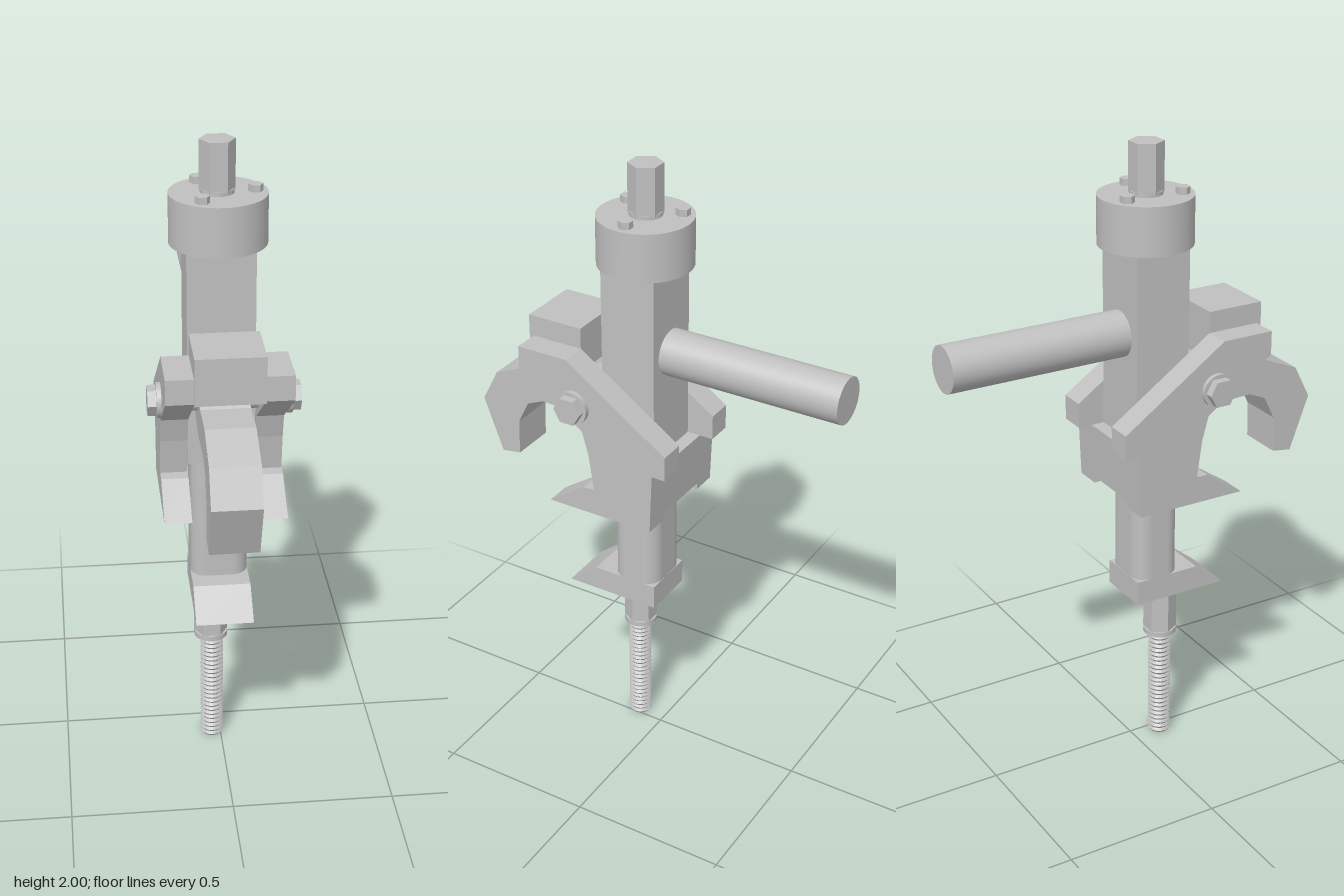
import * as THREE from 'three';

export function createModel() {
  const model = new THREE.Group();
  const steel = new THREE.MeshStandardMaterial({ color: 0xc0c0c0 });
  steel.name = 'steel grey';

  const add = (name, geometry, x = 0, y = 0, z = 0) => {
    const mesh = new THREE.Mesh(geometry, steel);
    mesh.name = name;
    mesh.position.set(x, y, z);
    model.add(mesh);
    return mesh;
  };
  // box from minimum and maximum corners
  const box = (name, x0, x1, y0, y1, z0, z1) =>
    add(name, new THREE.BoxGeometry(x1 - x0, y1 - y0, z1 - z0), (x0 + x1) / 2, (y0 + y1) / 2, (z0 + z1) / 2);
  // [z, y] side profile extruded across x
  const plate = (name, points, x0, x1) => {
    const shape = new THREE.Shape(points.map(([z, y]) => new THREE.Vector2(z, y)));
    const g = new THREE.ExtrudeGeometry(shape, { depth: x1 - x0, bevelEnabled: false });
    g.rotateY(-Math.PI / 2);
    return add(name, g, x1, 0, 0);
  };
  // upright cylinder, or prism when it has few sides
  const post = (name, r, y0, y1, x, z, sides = 40, turn = 0) => {
    const g = new THREE.CylinderGeometry(r, r, y1 - y0, sides).rotateY(turn);
    return add(name, sides > 8 ? g : flat(g), x, (y0 + y1) / 2, z);
  };
  const flat = (g) => {
    const out = g.toNonIndexed();
    out.computeVertexNormals();
    return out;
  };
  // cylinder lying along x
  const crossPin = (name, r, x0, x1, y, z, sides) => {
    const g = new THREE.CylinderGeometry(r, r, x1 - x0, sides).rotateZ(Math.PI / 2);
    return add(name, sides > 8 ? g : flat(g), (x0 + x1) / 2, y, z);
  };

  // threaded rod with its hex coupling
  const thread = [new THREE.Vector2(0, 0)];
  const turns = 24;
  for (let i = 0; i < turns; i++) {
    thread.push(new THREE.Vector2(0.031, (i / turns) * 0.385));
    thread.push(new THREE.Vector2(0.037, ((i + 0.5) / turns) * 0.385));
  }
  thread.push(new THREE.Vector2(0.031, 0.385));
  add('threadedRod', flat(new THREE.LatheGeometry(thread, 20)), -0.027, 0, 0.095);
  post('couplingFlange', 0.053, 0.38, 0.397, -0.03, 0.093);
  post('hexCoupling', 0.053, 0.397, 0.54, -0.03, 0.093, 6, Math.PI / 2);

  // lower jaw and the rounded slide above it
  plate('lowerJaw', [[0.29, 0.535], [0.19, 0.615], [-0.027, 0.615], [-0.027, 0.535]], -0.093, 0.085);
  const slide = new THREE.Shape();
  const [sx, sz, r] = [0.089, 0.078, 0.05];
  slide.absarc(sx - r, sz - r, r, 0, Math.PI / 2);
  slide.absarc(-sx + r, sz - r, r, Math.PI / 2, Math.PI);
  slide.absarc(-sx + r, -sz + r, r, Math.PI, Math.PI * 1.5);
  slide.absarc(sx - r, -sz + r, r, Math.PI * 1.5, Math.PI * 2);
  const slideGeometry = new THREE.ExtrudeGeometry(slide, { depth: 0.44, bevelEnabled: false, curveSegments: 8 });
  add('slide', slideGeometry.rotateX(-Math.PI / 2), -0.004, 0.61, 0.052);

  // square column, rear handle and round cap
  box('column', -0.103, 0.1, 1.02, 1.7, -0.037, 0.143);
  const handle = new THREE.CylinderGeometry(0.072, 0.072, 0.6, 48).rotateX(Math.PI / 2);
  add('handle', handle, 0, 1.425, -0.318);
  post('cap', 0.145, 1.693, 1.843, -0.002, 0.051, 64);
  post('driveCollar', 0.05, 1.843, 1.856, -0.005, 0.051);
  post('driveHex', 0.053, 1.85, 2, -0.005, 0.051, 6, Math.PI / 2);
  for (let i = 0; i < 3; i++) {
    const a = (i * Math.PI * 2) / 3;
    post('capBolt', 0.022, 1.84, 1.864, -0.002 + 0.108 * Math.cos(a), 0.051 + 0.108 * Math.sin(a), 6, Math.PI / 2);
  }

  // clamp side plates with upper jaw tips, joined at the back
  const side = [
    [0.387, 1.41], [0.217, 1.41], [-0.125, 1.177], [-0.125, 1.097], [-0.08, 1.097], [-0.072, 0.897],
    [0.29, 0.897], [0.165, 0.983], [0.127, 0.985], [0.143, 1.1], [0.165, 1.18], [0.387, 1.333],
  ];
  plate('leftSidePlate', side, 0.1, 0.184);
  plate('rightSidePlate', side, -0.186, -0.103);
  plate('backBridge', [[-0.08, 1.097], [-0.037, 1.097], [-0.03, 0.92], [-0.073, 0.92]], -0.103, 0.1);
  box('strikeBlock', -0.104, 0.101, 1.333, 1.477, 0.217, 0.402);

  // hinged hook
  plate('hook', [
    [0.15, 1.325], [0.21, 1.325], [0.297, 1.272], [0.43, 1.275], [0.56, 1.22], [0.615, 1.113], [0.55, 0.938],
    [0.485, 0.948], [0.482, 1.065], [0.445, 1.14], [0.387, 1.165], [0.22, 1.158], [0.15, 1.18],
  ], -0.079, 0.068);

  // pivot pin with a washer and hex head on each side
  crossPin('pivotPin', 0.035, -0.19, 0.19, 1.26, 0.192, 24);
  for (const s of [-1, 1]) {
    const span = (a, b) => (s > 0 ? [a, b] : [-b, -a]);
    crossPin('pivotWasher', 0.053, ...span(0.182, 0.2), 1.26, 0.192, 32);
    crossPin('pivotHead', 0.046, ...span(0.2, 0.226), 1.26, 0.192, 6);
  }
  return model;
}
